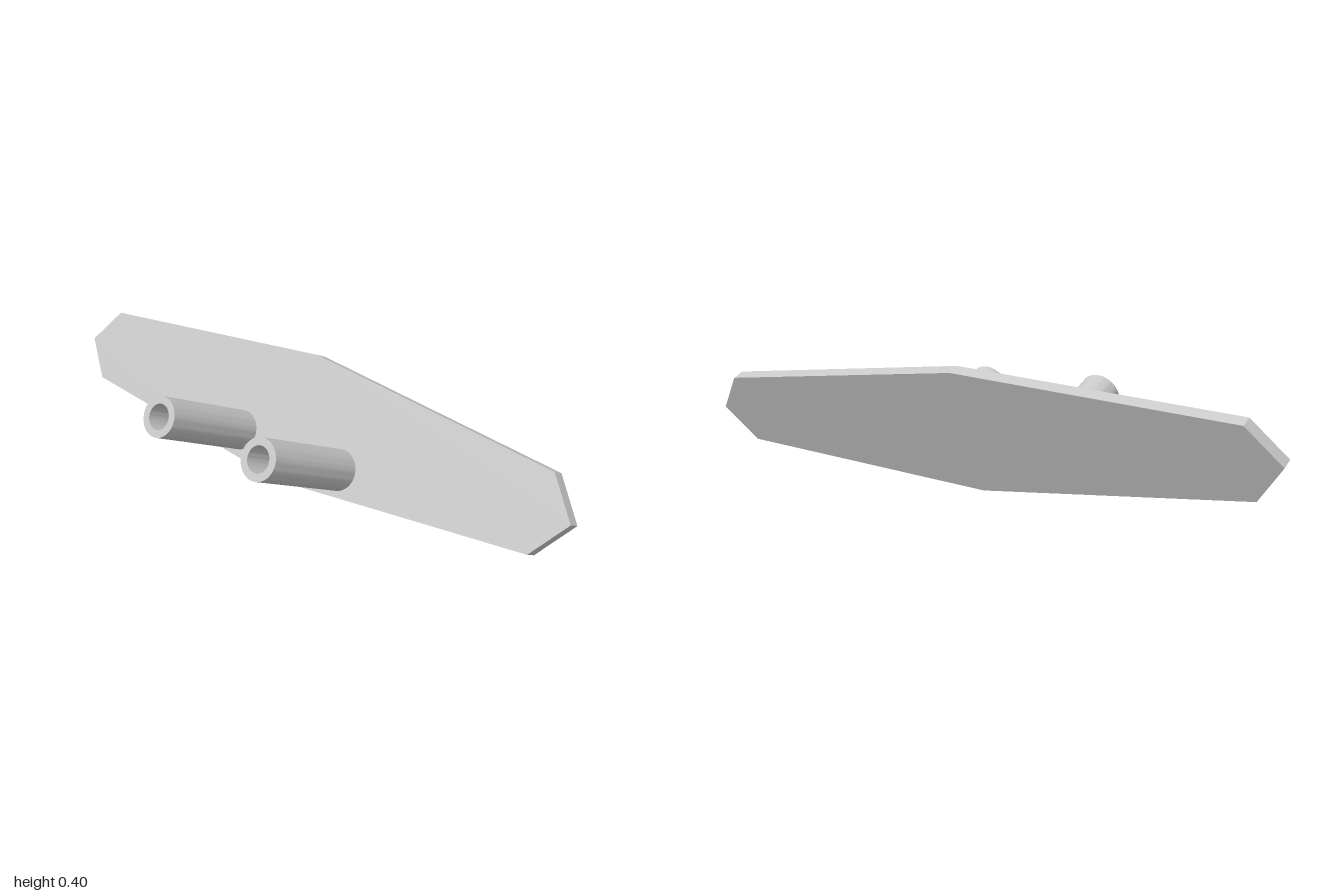
import * as THREE from 'three';
import { toCreasedNormals } from 'three/addons/utils/BufferGeometryUtils.js';

const TILT = THREE.MathUtils.degToRad(25);

// Eight-sided plate, its front face on local z = 0
function makePlate(material) {
  const thickness = 0.041;
  const outline = [
    [0, -0.21], [0.905, -0.121], [1, 0], [0.905, 0.121],
    [0, 0.21], [-0.905, 0.121], [-1, 0], [-0.905, -0.121],
  ].map(([x, y]) => new THREE.Vector2(x, y));
  const geometry = new THREE.ExtrudeGeometry(new THREE.Shape(outline), {
    depth: thickness, bevelEnabled: false,
  });
  geometry.translate(0, 0, -thickness);
  const plate = new THREE.Mesh(geometry, material);
  plate.name = 'plate';
  return plate;
}

// Hollow round tube standing out from the plate
function makeTubeGeometry() {
  const ring = new THREE.Shape().absarc(0, 0, 0.065, 0, Math.PI * 2, false);
  ring.holes.push(new THREE.Path().absarc(0, 0, 0.041, 0, Math.PI * 2, true));
  const geometry = new THREE.ExtrudeGeometry(ring, {
    depth: 0.393, bevelEnabled: false, curveSegments: 24,
  });
  return toCreasedNormals(geometry, Math.PI / 6);
}

export function createModel() {
  const grey = new THREE.MeshStandardMaterial({ color: 0xc8c8c8 });
  grey.name = 'light grey';

  const model = new THREE.Group();
  model.name = 'tiltedPlateWithTubes';
  model.add(makePlate(grey));

  // Mirrored pair of tubes, low on the front face
  const tubeGeometry = makeTubeGeometry();
  for (const side of [-1, 1]) {
    const tube = new THREE.Mesh(tubeGeometry, grey);
    tube.name = side > 0 ? 'leftTube' : 'rightTube';
    tube.position.set(side * 0.21, -0.104, 0);
    model.add(tube);
  }

  // Lean the whole assembly back
  model.rotation.x = -TILT;
  model.position.set(0, 0.209, -0.149);

  const root = new THREE.Group();
  root.name = 'model';
  root.add(model);
  return root;
}
